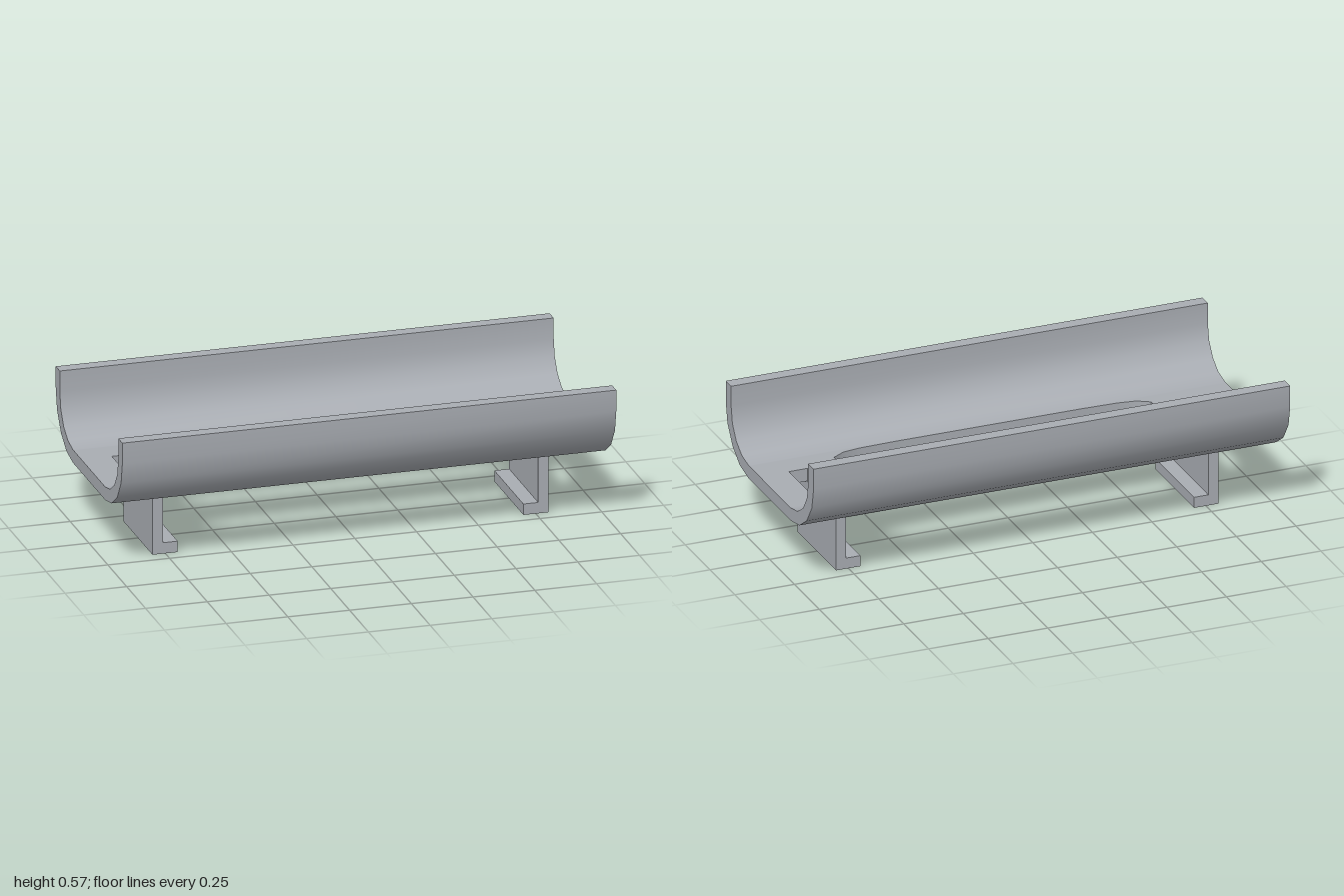
import * as THREE from 'three';
import { toCreasedNormals } from 'three/addons/utils/BufferGeometryUtils.js';

const FLOOR_Y = 0.256, THICK = 0.054, SEAM_Z = 0.205;

const points = (list) => list.map(([x, y]) => new THREE.Vector2(x, y));
const extrude = (shape, depth) =>
  new THREE.ExtrudeGeometry(shape, { depth, bevelEnabled: false });

export function createModel() {
  const group = new THREE.Group();
  const grey = new THREE.MeshStandardMaterial({ color: 0xa9adb3 });
  grey.name = 'grey plastic';
  const add = (name, geometry) => {
    const mesh = new THREE.Mesh(geometry, grey);
    mesh.name = name;
    group.add(mesh);
    return mesh;
  };

  // Flat floor with two long slots and a rectangular hole beside each leg
  const floor = new THREE.Shape(points([[-1, -SEAM_Z], [1, -SEAM_Z], [1, SEAM_Z], [-1, SEAM_Z]]));
  const slotEnd = [[0.39, 0.06], [0.54, 0.056], [0.615, 0.045], [0.665, 0.015]];
  const slotTop = [...slotEnd, ...slotEnd.map(([x, z]) => [x, -z]).reverse()];
  const slot = [...slotTop, ...slotTop.map(([x, z]) => [-x, -z])];
  for (const side of [-1, 1]) {
    floor.holes.push(new THREE.Path(points(slot.map(([x, z]) => [x, z + side * 0.14]))));
    floor.holes.push(new THREE.Path(points(
      [[0.8, -0.1], [0.877, -0.1], [0.877, 0.1], [0.8, 0.1]].map(([x, z]) => [x * side, z]))));
  }
  const floorGeometry = extrude(floor, THICK);
  floorGeometry.rotateX(-Math.PI / 2).translate(0, FLOOR_Y, 0);
  add('floor', toCreasedNormals(floorGeometry, 0.6));

  // Curved side walls, profile drawn in z and y then swept along x
  const wall = new THREE.Shape(points([
    [SEAM_Z, FLOOR_Y], [0.215, FLOOR_Y], [0.3, 0.273], [0.373, 0.323],
    [0.425, 0.4], [0.442, 0.486], [0.442, 0.573],
    [0.388, 0.573], [0.388, 0.488], [0.375, 0.42], [0.336, 0.361],
    [0.28, 0.324], [0.212, FLOOR_Y + THICK], [SEAM_Z, FLOOR_Y + THICK],
  ]));
  const wallGeometry = extrude(wall, 2);
  wallGeometry.rotateY(-Math.PI / 2).translate(1, 0, 0);
  const smoothWall = toCreasedNormals(wallGeometry, 0.6);
  add('frontWall', smoothWall);
  add('backWall', smoothWall).rotation.y = Math.PI;

  // L-shaped legs with their feet pointing inwards
  const leg = new THREE.Shape(points([
    [0.7, 0], [0.802, 0], [0.802, FLOOR_Y], [0.76, FLOOR_Y], [0.76, 0.045], [0.7, 0.045],
  ]));
  const legGeometry = extrude(leg, 0.386);
  legGeometry.translate(0, 0, -0.193);
  add('leftLeg', legGeometry);
  add('rightLeg', legGeometry).rotation.y = Math.PI;

  return group;
}
